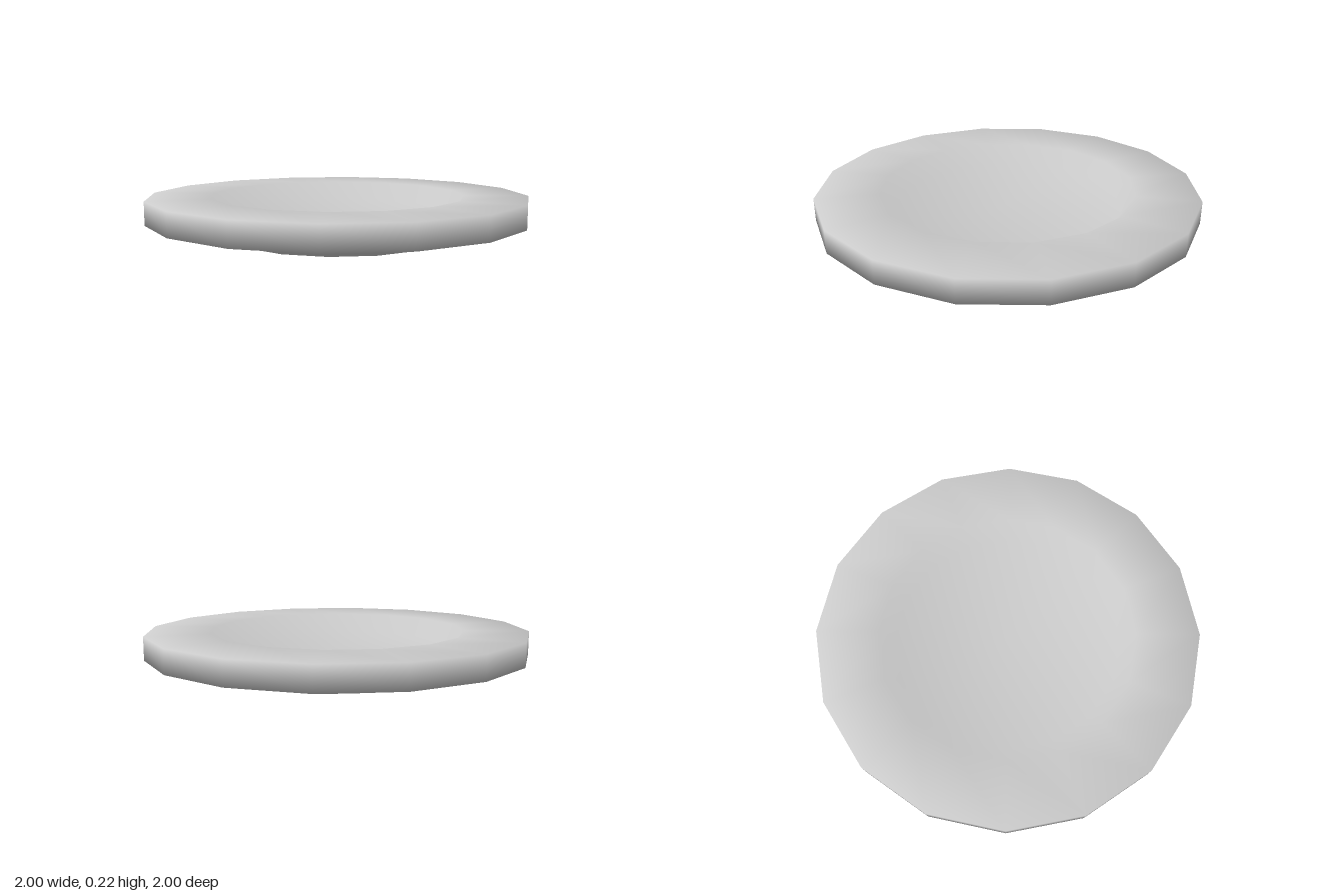
import * as THREE from 'three';
import { mergeVertices } from 'three/addons/utils/BufferGeometryUtils.js';

const SIDES = 16;

// Turned low-poly body, welded so the shading runs smoothly over every edge
function turned(profile) {
  const points = profile.map(([r, y]) => new THREE.Vector2(r, y));
  const lathe = new THREE.LatheGeometry(points, SIDES);
  lathe.deleteAttribute('uv');
  lathe.deleteAttribute('normal');
  const geometry = mergeVertices(lathe, 1e-4);
  geometry.computeVertexNormals();
  return geometry;
}

export function createModel() {
  const group = new THREE.Group();
  group.name = 'dinnerPlate';

  const material = new THREE.MeshStandardMaterial({ color: 0xcccccc });

  // Closed cross-section: foot, underside, rim wall, flat rim, sunken well
  const plate = new THREE.Mesh(turned([
    [0, 0],
    [0.58, 0],
    [0.68, 0.1],
    [1, 0.1],
    [1, 0.22],
    [0.67, 0.22],
    [0.6, 0.12],
    [0, 0.12],
  ]), material);
  plate.name = 'plate';
  group.add(plate);

  return group;
}
